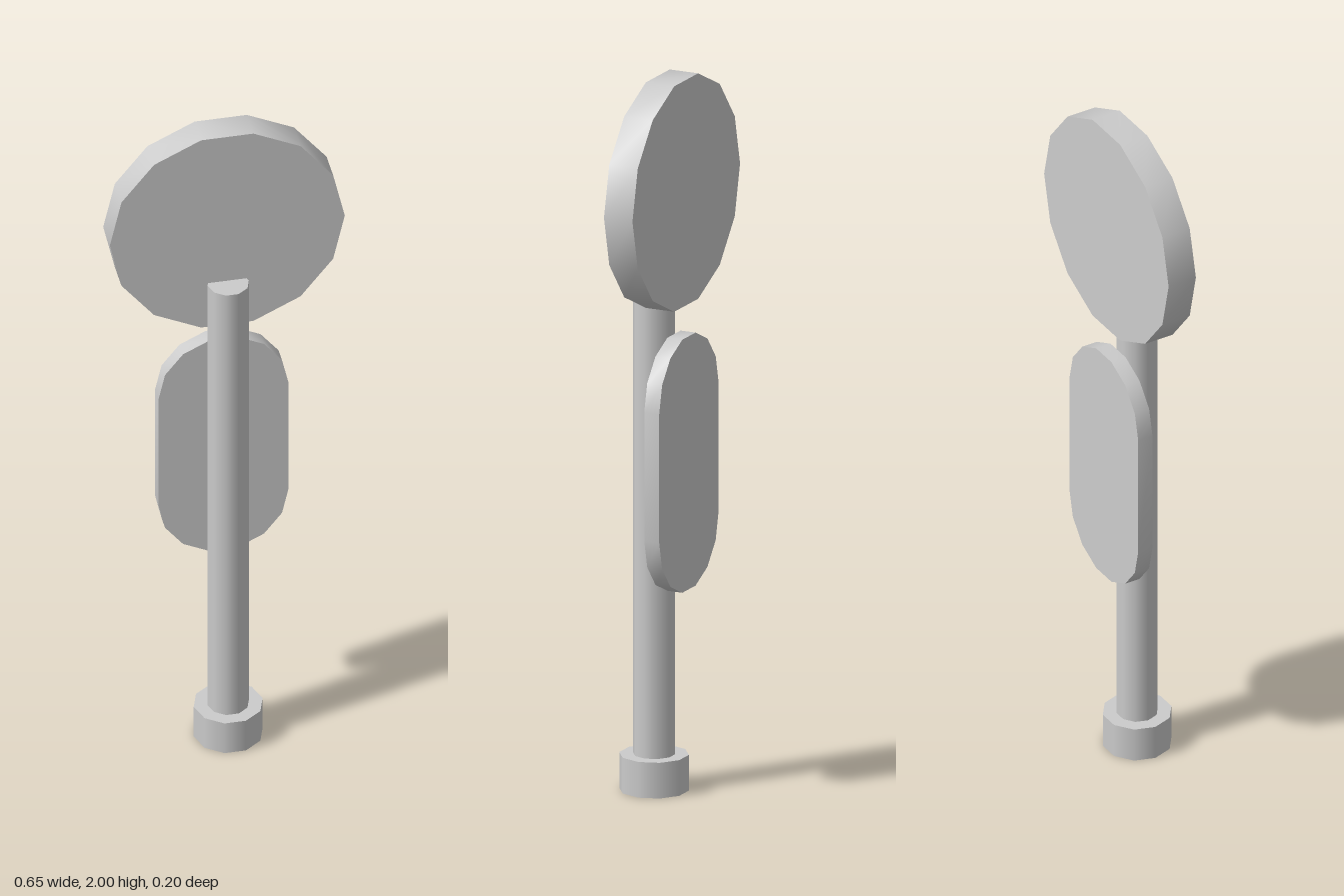
import * as THREE from 'three';
import { mergeGeometries, toCreasedNormals } from 'three/addons/utils/BufferGeometryUtils.js';

const grey = new THREE.MeshStandardMaterial({ color: 0xcccccc });

function addPart(group, name, geometry) {
  const mesh = new THREE.Mesh(geometry, grey);
  mesh.name = name;
  group.add(mesh);
}

// Ten-sided upright tube with a closed top and an open underside
function post(radius, bottom, top) {
  const wall = new THREE.CylinderGeometry(radius, radius, top - bottom, 10, 1, true, Math.PI / 10);
  wall.translate(0, (top + bottom) / 2, 0);
  const cap = new THREE.CircleGeometry(radius, 10).rotateX(-Math.PI / 2).translate(0, top, 0);
  return mergeGeometries([wall, cap]).translate(-0.001, 0, 0.006);
}

// Fourteen-sided plate facing z, split at its middle and stretched by halfStraight
function plate(radius, halfStraight, centreY, zBack, zFront) {
  const points = [];
  for (const half of [0, 1]) {
    const shift = half ? -halfStraight : halfStraight;
    const last = halfStraight > 0 ? 7 : 6;
    for (let i = 0; i <= last; i++) {
      const a = (half * 7 + i) * Math.PI / 7;
      points.push(new THREE.Vector2(radius * Math.cos(a), radius * Math.sin(a) + shift));
    }
  }
  const geometry = new THREE.ExtrudeGeometry(new THREE.Shape(points), {
    depth: zFront - zBack, bevelEnabled: false,
  });
  geometry.translate(-0.001, centreY, zBack);
  return toCreasedNormals(geometry, 0.6);
}

export function createModel() {
  const group = new THREE.Group();
  group.name = 'signPost';

  addPart(group, 'foot', post(0.095, 0, 0.1));
  addPart(group, 'pole', post(0.057, 0.1, 1.515));
  addPart(group, 'roundSign', plate(0.324, 0, 1.684, -0.091, -0.005));
  addPart(group, 'lowerPanel', plate(0.179, 0.18, 0.928, -0.099, -0.054));

  return group;
}
